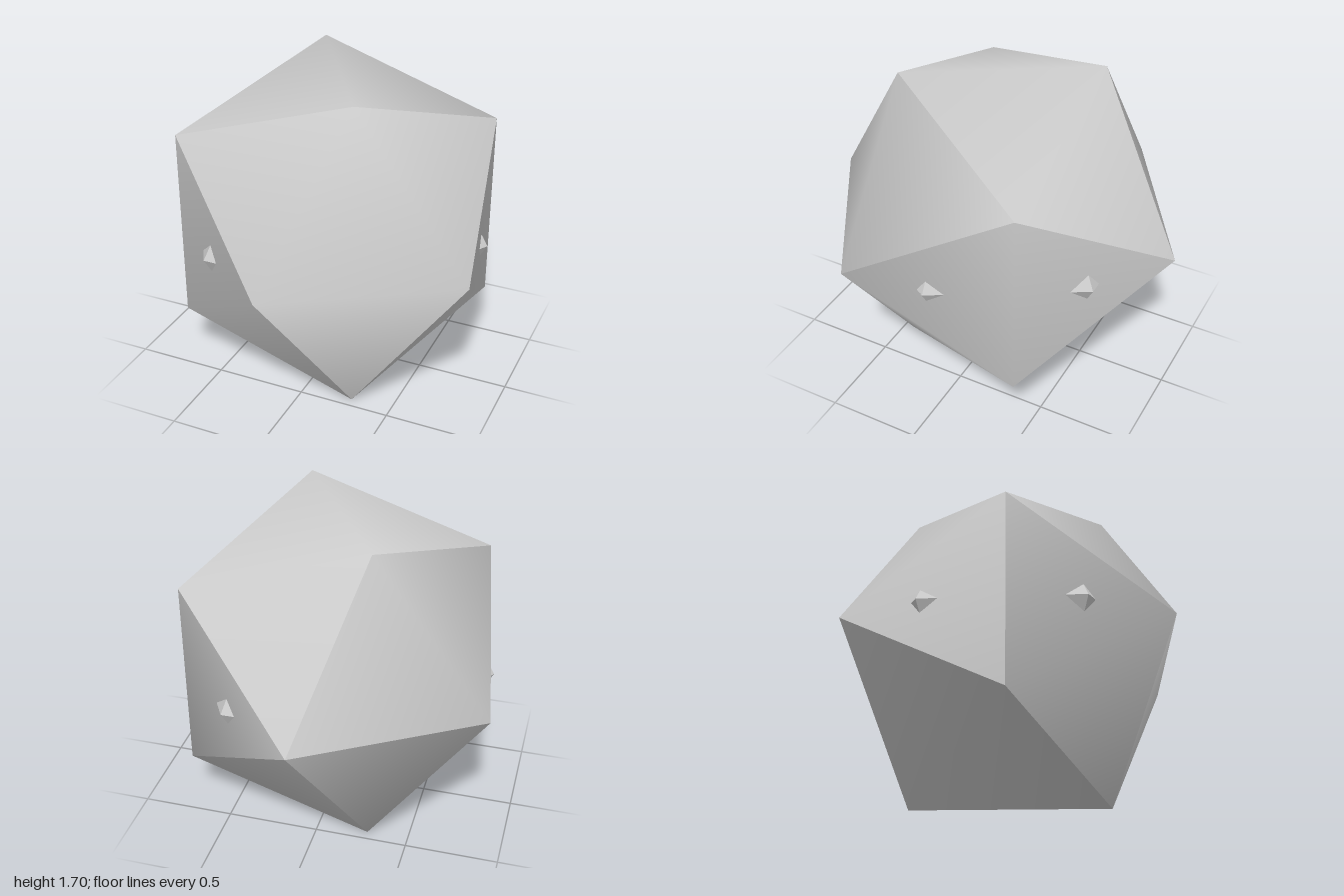
import * as THREE from 'three';
import { mergeGeometries } from 'three/addons/utils/BufferGeometryUtils.js';

const CENTRE_Y = 0.8507; // half height of a unit icosahedron resting on an edge

// Corners: P front pole, Q back pole, A0-A4 front ring, B0-B4 back ring
function makeCorners() {
  const corners = { P: new THREE.Vector3(0, 0, 1), Q: new THREE.Vector3(0, 0, -1) };
  const r = 2 / Math.sqrt(5), z = 1 / Math.sqrt(5);
  for (let i = 0; i < 5; i++) {
    const a = (i * 2 * Math.PI) / 5, b = a + Math.PI / 5;
    corners['A' + i] = new THREE.Vector3(r * Math.cos(a), r * Math.sin(a), z);
    corners['B' + i] = new THREE.Vector3(r * Math.cos(b), r * Math.sin(b), -z);
  }
  return corners;
}

// Groups of triangles that are smooth inside and creased along their borders
const PATCHES = [
  'P A0 A1, P A1 A2, P A4 A0, A0 A1 B0',
  'A0 A4 B4, A0 B4 B0, B0 B4 Q',
  'Q B1 B0, B0 B1 A1, A1 B1 A2',
  'P A2 A3, P A3 A4',
  'Q B1 B2, B1 A2 B2, A2 A3 B2',
  'Q B2 B3, B2 B3 A3, A3 A4 B3',
  'Q B3 B4, A4 B3 B4',
];

function patchGeometry(patch, corners) {
  const names = [], positions = [], index = [];
  const slot = (name) => {
    if (!names.includes(name)) {
      names.push(name);
      positions.push(...corners[name].toArray());
    }
    return names.indexOf(name);
  };
  for (const face of patch.split(', ')) {
    const [a, b, c] = face.split(' ');
    // turn every triangle outward
    const outward = corners[a].clone().cross(corners[b]).dot(corners[c]) > 0;
    index.push(...(outward ? [a, b, c] : [a, c, b]).map(slot));
  }
  const geometry = new THREE.BufferGeometry();
  geometry.setAttribute('position', new THREE.Float32BufferAttribute(positions, 3));
  geometry.setIndex(index);
  geometry.computeVertexNormals();
  return geometry;
}

export function createModel() {
  const model = new THREE.Group();
  model.name = 'facetedBall';

  // Twenty-sided body
  const corners = makeCorners();
  const body = new THREE.Mesh(
    mergeGeometries(PATCHES.map((patch) => patchGeometry(patch, corners))),
    new THREE.MeshStandardMaterial({ color: 0xcccccc })
  );
  body.name = 'body';
  body.position.y = CENTRE_Y;

  // Six-sided inner ring whose corners poke through the body
  const ring = new THREE.Mesh(
    new THREE.TorusGeometry(0.695, 0.15, 6, 6).rotateX(Math.PI / 2),
    new THREE.MeshStandardMaterial({ color: 0xcccccc, flatShading: true })
  );
  ring.name = 'innerRing';
  ring.position.y = CENTRE_Y;

  model.add(body, ring);
  return model;
}
